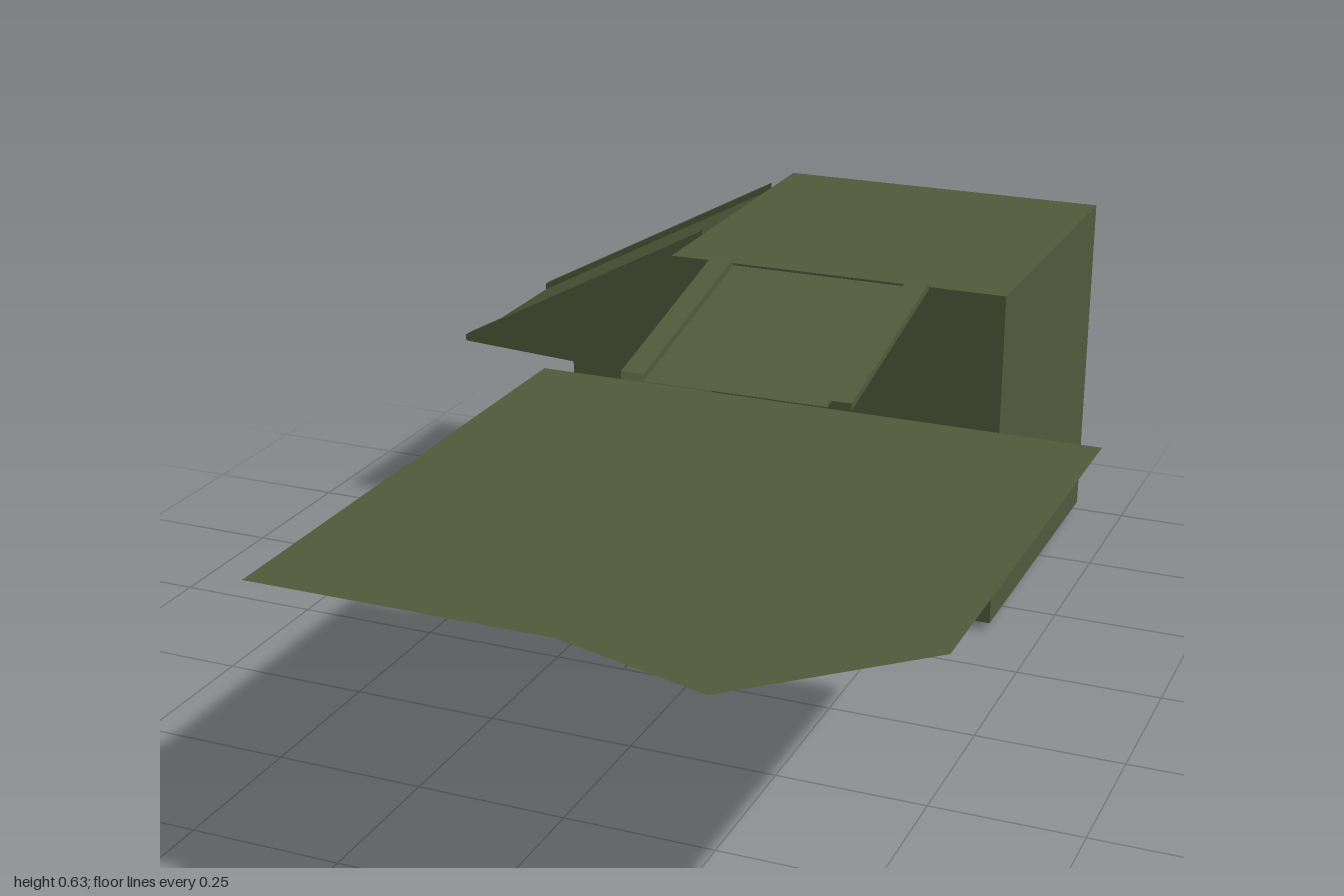
import * as THREE from 'three';

const olive = new THREE.MeshStandardMaterial({ color: 0x525a3c, side: THREE.DoubleSide });
olive.name = 'olive';

// Flat sheet: a polygon fanned out from its first corner.
function panel(name, corners) {
  const positions = [];
  for (let i = 1; i < corners.length - 1; i++) {
    positions.push(...corners[0], ...corners[i], ...corners[i + 1]);
  }
  const geometry = new THREE.BufferGeometry();
  geometry.setAttribute('position', new THREE.Float32BufferAttribute(positions, 3));
  geometry.computeVertexNormals();
  const mesh = new THREE.Mesh(geometry, olive);
  mesh.name = name;
  return mesh;
}

// Sloping strip raised above a ramp, with a thin lip on both long sides.
function rail(name, highA, highB, lowB, lowA) {
  const lip = 0.012;
  const drop = ([x, y, z]) => [x, y - lip, z];
  const group = new THREE.Group();
  group.name = name;
  group.add(
    panel('railTop', [highA, highB, lowB, lowA]),
    panel('railLip', [highA, lowA, drop(lowA), drop(highA)]),
    panel('railLip', [highB, lowB, drop(lowB), drop(highB)]),
  );
  return group;
}

export function createModel() {
  const model = new THREE.Group();
  model.name = 'rampStructure';

  // Main block: four walls and a roof, open underneath
  const [x0, x1, y0, y1, z0, z1] = [-0.2, 0.41, 0.015, 0.62, -1, -0.39];
  const block = new THREE.Group();
  block.name = 'mainBlock';
  const plan = [[x0, z1], [x1, z1], [x1, z0], [x0, z0]];
  plan.forEach(([ax, az], i) => {
    const [bx, bz] = plan[(i + 1) % 4];
    block.add(panel('wall', [[ax, y0, az], [bx, y0, bz], [bx, y1, bz], [ax, y1, az]]));
  });
  block.add(panel('roof', plan.map(([x, z]) => [x, y1, z])));
  model.add(block);

  // Front ramp from the roof down to the platform
  const front = new THREE.Group();
  front.name = 'frontRamp';
  front.add(panel('rampDeck', [[-0.083, 0.53, 0], [0.235, 0.53, 0], [0.235, 0.616, z1], [-0.083, 0.616, z1]]));
  for (const [a, b] of [[-0.123, -0.083], [0.235, 0.275]]) {
    front.add(rail('rampRail', [a, 0.628, z1], [b, 0.628, z1], [b, 0.542, 0], [a, 0.542, 0]));
  }
  front.add(panel('rampWall', [[-0.123, 0.628, z1], [-0.123, 0.542, 0], [-0.123, 0, 0], [-0.123, 0.015, z1]]));
  model.add(front);

  // Side ramp falling away to the model's right
  const side = new THREE.Group();
  side.name = 'sideRamp';
  side.add(panel('rampDeck', [[x0, 0.617, -0.51], [x0, 0.617, -0.88], [-0.68, 0.362, -0.88], [-0.68, 0.362, -0.51]]));
  for (const [a, b] of [[-0.88, -0.86], [-0.53, -0.51]]) {
    side.add(rail('rampRail', [x0, 0.63, a], [x0, 0.63, b], [-0.68, 0.374, b], [-0.68, 0.374, a]));
  }
  const wall = [[x0, 0.63], [-0.68, 0.374], [-0.68, 0.362], [-0.453, 0.35], [-0.453, 0.2], [x0, 0.2]];
  side.add(panel('rampWall', wall.map(([x, y]) => [x, y, -0.51])));
  model.add(side);

  // Angled platform with an edge strip that drops into a leg
  const deck = [[-0.262, 0], [-0.262, 0.923], [0.2, 0.923], [0.44, 0.995], [0.677, 0.773], [0.677, 0]];
  model.add(panel('platform', deck.map(([x, z]) => [x, 0.528, z])));
  const leg = [[0, 0.528], [0.773, 0.528], [0.773, 0.51], [0.232, 0.51], [0.232, 0.165], [0, 0.165]];
  model.add(panel('platformLeg', leg.map(([z, y]) => [-0.262, y, z])));

  return model;
}
